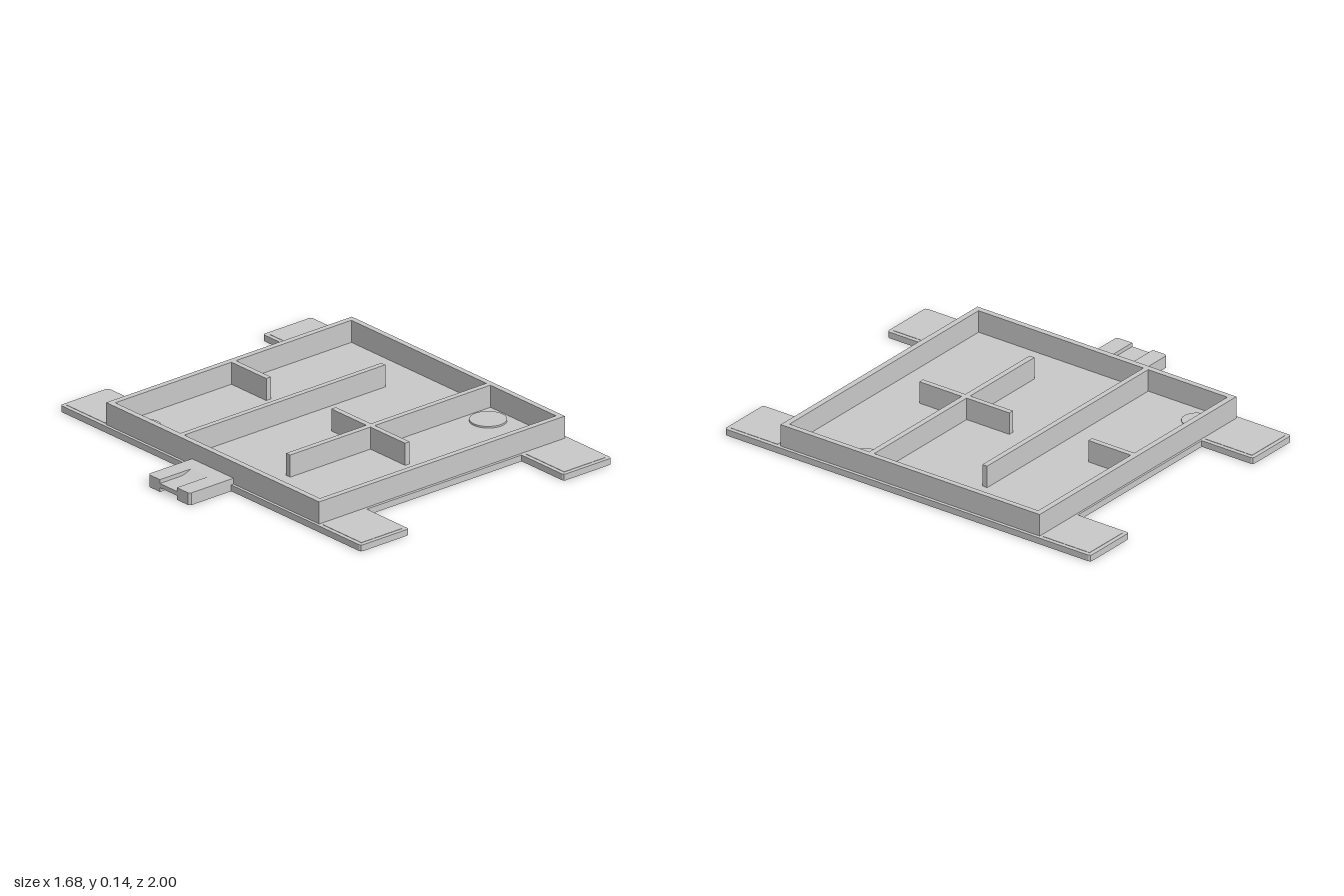
import * as THREE from 'three';

export function createModel() {
  const model = new THREE.Group();
  const grey = new THREE.MeshStandardMaterial({ color: 0xc8c8c8 });
  grey.name = 'plain grey';

  const add = (name, geometry, x = 0, y = 0, z = 0) => {
    const mesh = new THREE.Mesh(geometry, grey);
    mesh.name = name;
    mesh.position.set(x, y, z);
    model.add(mesh);
    return mesh;
  };

  // Box given by its limits on each axis
  const block = (name, x0, x1, y0, y1, z0, z1) =>
    add(name, new THREE.BoxGeometry(x1 - x0, y1 - y0, z1 - z0),
      (x0 + x1) / 2, (y0 + y1) / 2, (z0 + z1) / 2);

  const extrude = (shape, depth) => new THREE.ExtrudeGeometry(shape, { depth, bevelEnabled: false });
  const polygon = (points) => new THREE.Shape(points.map(([x, y]) => new THREE.Vector2(x, y)));

  // Plan outline (x, z) raised from y0 to y1; shape y maps to -z
  const slab = (name, shape, y0, y1) =>
    add(name, extrude(shape, y1 - y0).rotateX(-Math.PI / 2), 0, y0, 0);
  const outline = (points) => polygon(points.map(([x, z]) => [x, -z]));
  const rect = (x0, x1, z0, z1) => outline([[x0, z0], [x0, z1], [x1, z1], [x1, z0]]);

  // Base plate with four mounting tabs; the tab ends have trimmed corners
  const tabEnd = (x0, x1, s, c = 0.012) => {
    const pts = [[x0, s * (1 - c)], [x0 + c * 0.3, s * (1 - c * 0.3)], [x0 + c, s],
      [x1 - c, s], [x1 - c * 0.3, s * (1 - c * 0.3)], [x1, s * (1 - c)]];
    return s < 0 ? pts : pts.reverse();
  };
  const tabs = [[-0.602, -0.326], [0.564, 0.841]];
  slab('basePlate', outline([
    ...tabEnd(...tabs[0], -1), [-0.326, -0.72], [0.564, -0.72],
    ...tabEnd(...tabs[1], -1),
    ...tabEnd(...tabs[1], 1), [0.564, 0.72], [-0.326, 0.72],
    ...tabEnd(...tabs[0], 1),
  ]), 0, 0.03);

  // Very thin inset pads on the tabs
  for (const [x0, x1] of tabs) {
    for (const s of [-1, 1]) {
      const z = [s * 0.725, s * 0.98].sort((a, b) => a - b);
      block('tabPad', x0 + 0.02, x1 - 0.02, 0.03, 0.0315, z[0], z[1]);
    }
  }

  // Tray rim
  const top = 0.135;
  const rim = rect(-0.588, 0.825, -0.71, 0.706);
  rim.holes.push(rect(-0.56, 0.798, -0.682, 0.678));
  slab('outerWall', rim, 0.03, top);

  // Maze partitions: x0, x1, z0, z1
  [
    ['rearPartition', -0.56, 0.596, -0.249, -0.223],
    ['frontPartition', -0.353, 0.798, 0.215, 0.242],
    ['crossPartition', 0.108, 0.134, -0.018, 0.473],
    ['rearStub', 0.108, 0.134, -0.682, -0.45],
  ].forEach(([name, x0, x1, z0, z1]) => block(name, x0, x1, 0.03, top, z0, z1));

  // Start and finish discs on the tray floor: radius, height, x, z
  [['finishDisc', 0.083, 0.008, 0.698, 0.343], ['startDisc', 0.066, 0.004, -0.465, -0.585]]
    .forEach(([name, r, h, x, z]) =>
      add(name, new THREE.CylinderGeometry(r, r, h, 40), x, 0.03 + h / 2, z));

  // Side clip: two arms on a solid root
  const c = 0.01;
  slab('clipBody', outline([
    [-0.588, -0.14], [-0.841 + c, -0.14], [-0.841, -0.14 + c],
    [-0.841, -0.06], [-0.66, -0.06], [-0.66, 0.052], [-0.841, 0.052],
    [-0.841, 0.137 - c], [-0.841 + c, 0.137], [-0.588, 0.137],
  ]), 0, 0.058);

  // Tongue between the arms, tapering from the root to a thin end
  add('clipTongue', extrude(polygon([
    [-0.66, 0], [-0.66, 0.058], [-0.71, 0.04], [-0.841, 0.04], [-0.841, 0.02], [-0.71, 0.02],
  ]), 0.112), 0, 0, -0.06);

  return model;
}
